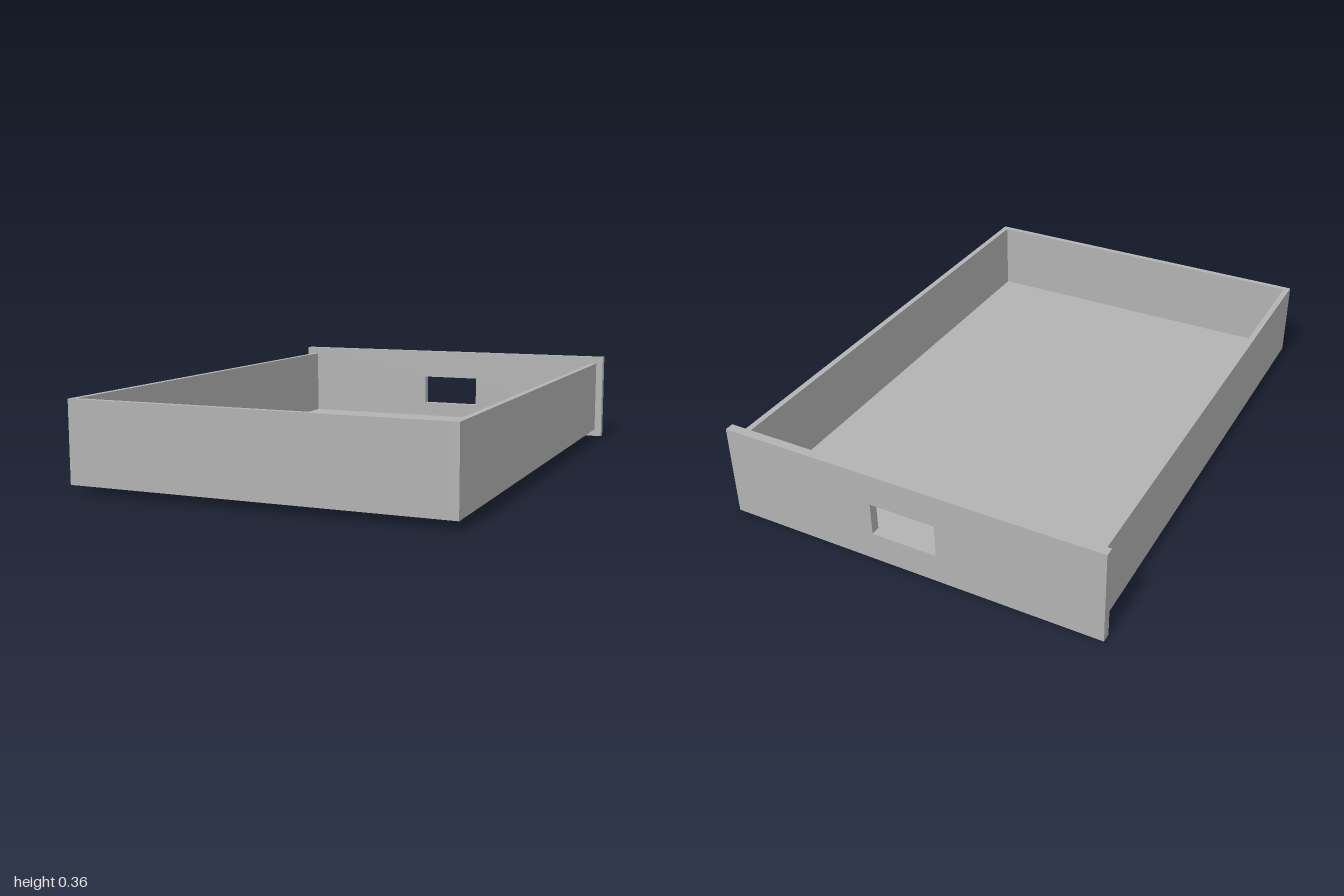
import * as THREE from 'three';

export function createModel() {
  const group = new THREE.Group();
  group.name = 'drawer';
  const grey = new THREE.MeshStandardMaterial({ color: 0xb2b2b2 });
  grey.name = 'grey';

  const HALF = 0.708;           // half width of the tray
  const WALL = 0.023;           // wall and floor thickness
  const BOTTOM = 0.03, TOP = 0.332;
  const BACK = -0.965, FRONT = 1;

  // Box given by its two opposite corners
  function slab(name, [x0, y0, z0], [x1, y1, z1]) {
    const mesh = new THREE.Mesh(new THREE.BoxGeometry(x1 - x0, y1 - y0, z1 - z0), grey);
    mesh.position.set((x0 + x1) / 2, (y0 + y1) / 2, (z0 + z1) / 2);
    mesh.name = name;
    group.add(mesh);
  }

  // Tray: floor, two side walls and the end wall
  const floorTop = BOTTOM + 0.021;
  slab('floor', [-HALF, BOTTOM, BACK], [HALF, floorTop, FRONT]);
  slab('leftWall', [HALF - WALL, floorTop, BACK], [HALF, TOP, FRONT]);
  slab('rightWall', [-HALF, floorTop, BACK], [-HALF + WALL, TOP, FRONT]);
  slab('endWall', [-HALF + WALL, floorTop, FRONT - WALL], [HALF - WALL, TOP, FRONT]);

  // Wider face panel with a rectangular grip opening
  const rectangle = (path, x0, y0, x1, y1) =>
    path.moveTo(x0, y0).lineTo(x1, y0).lineTo(x1, y1).lineTo(x0, y1).closePath();
  const outline = new THREE.Shape();
  rectangle(outline, -0.737, 0, 0.737, 0.361);
  const grip = new THREE.Path();
  rectangle(grip, -0.114, 0.112, 0.14, 0.239);
  outline.holes.push(grip);
  const panel = new THREE.Mesh(
    new THREE.ExtrudeGeometry(outline, { depth: BACK + 1, bevelEnabled: false }), grey);
  panel.position.z = -1;
  panel.name = 'facePanel';
  group.add(panel);

  return group;
}
